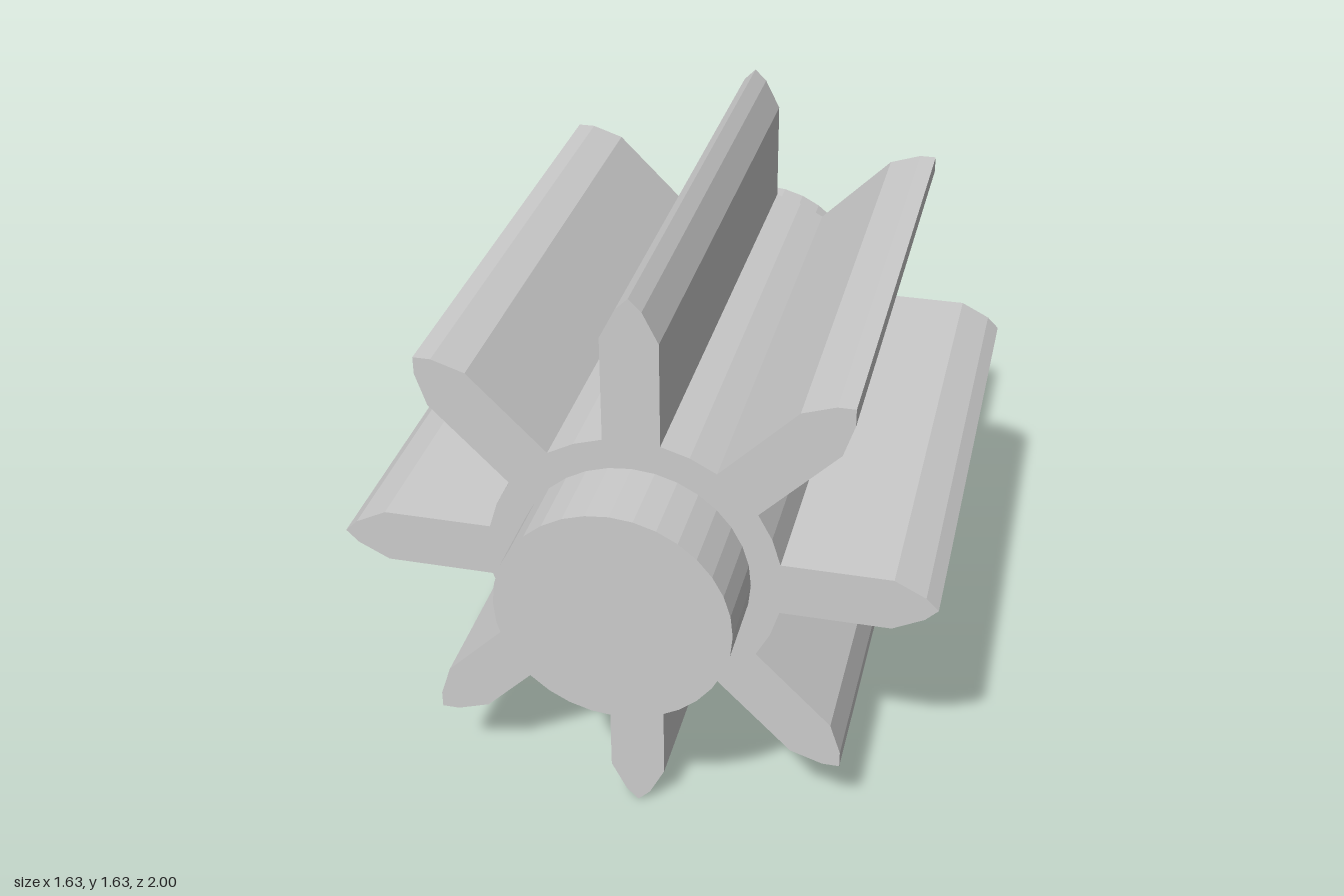
import * as THREE from 'three';

const AXIS_Y = 0.813; // height of the gear axis
const TEETH = 8;
const GEAR_LENGTH = 1.55;
const SHAFT_RADIUS = 0.318;
const SHAFT_LENGTH = 2;

// One tooth pointing up, [offset, radial], from its left root to its right root
const half = [[-0.077, 0.396], [-0.077, 0.694], [-0.034, 0.779]];
const tooth = [...half, [0, 0.813], ...half.map(([x, y]) => [-x, y]).reverse()];

// Outline of the whole gear: each tooth followed by the middle of the valley
function gearShape() {
  const points = [];
  const add = (x, y, a) => points.push(new THREE.Vector2(
    x * Math.cos(a) + y * Math.sin(a), -x * Math.sin(a) + y * Math.cos(a)));
  const step = (Math.PI * 2) / TEETH;
  for (let i = 0; i < TEETH; i++) {
    tooth.forEach(([x, y]) => add(x, y, i * step));
    add(0, 0.403, (i + 0.5) * step);
  }
  return new THREE.Shape(points);
}

export function createModel() {
  const group = new THREE.Group();
  group.name = 'pinionGear';
  const material = new THREE.MeshStandardMaterial({ color: 0xcccccc, flatShading: true });

  // Toothed body
  const body = new THREE.ExtrudeGeometry(gearShape(), { depth: GEAR_LENGTH, bevelEnabled: false });
  body.translate(0, 0, -GEAR_LENGTH / 2);
  const gear = new THREE.Mesh(body, material);
  gear.name = 'toothedBody';
  gear.position.y = AXIS_Y;
  group.add(gear);

  // Shaft stubs at both ends
  const stubLength = (SHAFT_LENGTH - GEAR_LENGTH) / 2;
  for (const side of [1, -1]) {
    const stub = new THREE.Mesh(
      new THREE.CylinderGeometry(SHAFT_RADIUS, SHAFT_RADIUS, stubLength, 32), material);
    stub.name = side > 0 ? 'frontShaft' : 'backShaft';
    stub.rotation.x = Math.PI / 2;
    stub.position.set(0, AXIS_Y, side * (GEAR_LENGTH + stubLength) / 2);
    group.add(stub);
  }
  return group;
}
